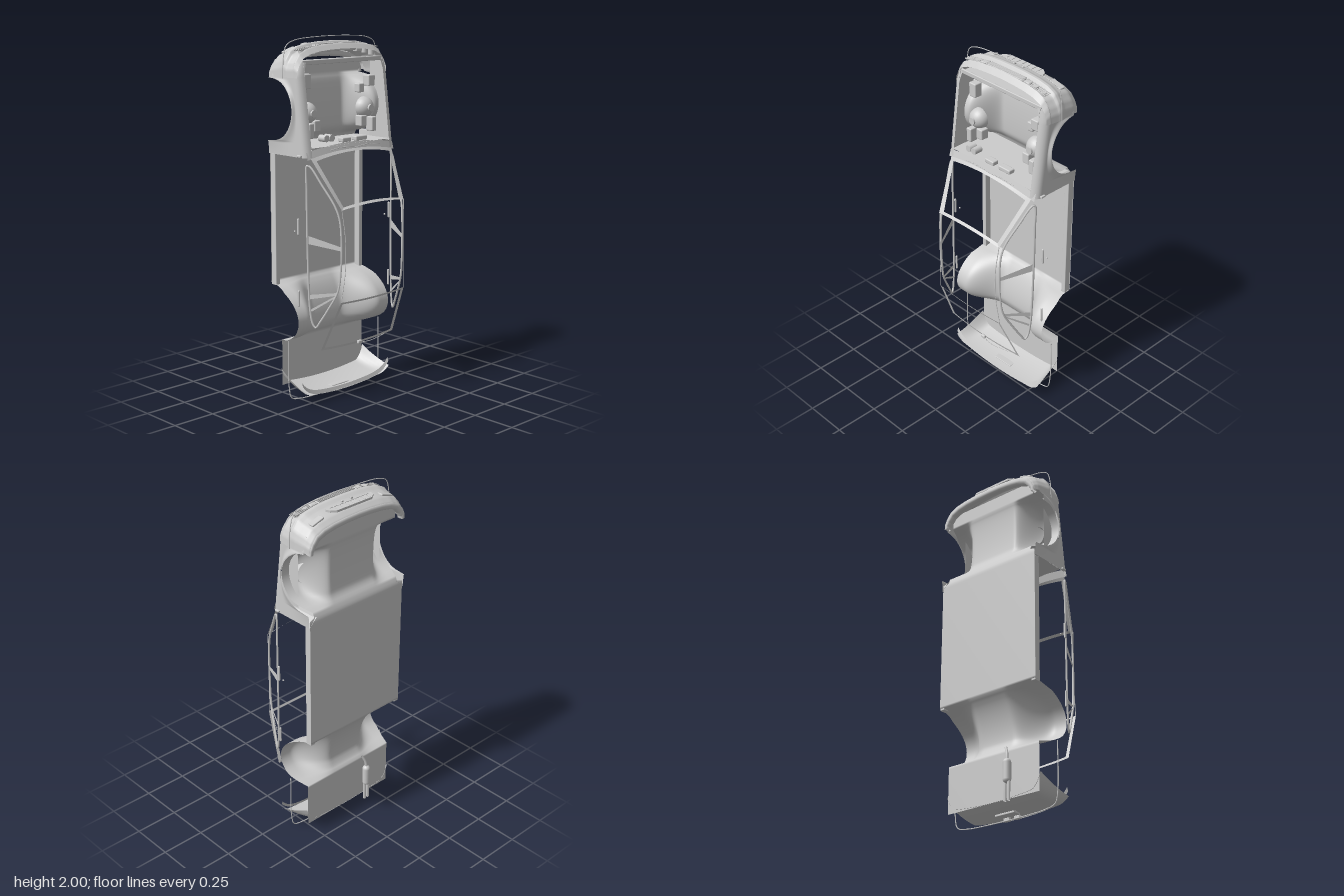
import * as THREE from 'three';
import { ParametricGeometry } from 'three/addons/geometries/ParametricGeometry.js';
import { RoundedBoxGeometry } from 'three/addons/geometries/RoundedBoxGeometry.js';

// Open car body shell standing on its tail: nose at +y, roof side at +z.
export function createModel() {
  const model = new THREE.Group();
  const mat = new THREE.MeshStandardMaterial({ color: 0xcccccc, side: THREE.DoubleSide });
  const { lerp, smoothstep, clamp } = THREE.MathUtils;

  function add(name, geo, x = 0, y = 0, z = 0) {
    const mesh = new THREE.Mesh(geo, mat);
    mesh.name = name;
    mesh.position.set(x, y, z);
    model.add(mesh);
    return mesh;
  }
  function surface(name, nu, nv, fn) {
    const geo = new ParametricGeometry((u, v, p) => p.set(...fn(u, v)), nu, nv);
    geo.computeVertexNormals();
    return add(name, geo);
  }
  // Piecewise linear lookup along a list of points
  function along(pts, t) {
    const f = clamp(t, 0, 1) * (pts.length - 1);
    const i = Math.min(Math.floor(f), pts.length - 2);
    return pts[i].map((a, k) => lerp(a, pts[i + 1][k], f - i));
  }
  const quad = (name, a, b, c, d) => surface(name, 4, 4, (u, v) => along([along([a, b], u), along([d, c], u)], v));
  function rod(name, pts, r, closed = false, n = 64) {
    const curve = new THREE.CatmullRomCurve3(pts.map(p => new THREE.Vector3(...p)), closed, 'centripetal');
    return add(name, new THREE.TubeGeometry(curve, n, r, 6, closed));
  }
  const box = (name, w, h, d, x, y, z, r = 0.006) =>
    add(name, new RoundedBoxGeometry(w, h, d, 2, r), x, y, z);
  const mirrorPts = pts => [...pts.map(([x, y, z]) => [-x, y, z]).reverse(), ...pts];

  // Underbody: flat cabin floor with domed wheel housings front and rear
  const FRONT = 1.62, REAR = 0.5;
  const bell = (y, c, r) => Math.pow(Math.max(0, 1 - ((y - c) / r) ** 2), 0.6);
  surface('underbody', 70, 150, (u, v) => {
    const y = lerp(0.075, 1.87, v);
    const f = bell(y, FRONT, 0.165), r = bell(y, REAR, 0.16);
    const cabin = y > 0.64 && y < 1.42;
    const half = cabin ? 0.334 : y > 1.42 ? 0.3 + 0.042 * Math.min(1, f * 1.7) : 0.31 + 0.038 * Math.min(1, r * 1.7);
    const x = (u * 2 - 1) * half, ax = Math.abs(x);
    const base = y < 0.4 ? -0.178 : y < 0.64 ? lerp(-0.178, -0.234, (y - 0.4) / 0.24)
      : y < 1.4 ? -0.234 : lerp(-0.234, -0.2, smoothstep(y, 1.4, 1.5));
    return [x, y, base + f * (0.015 + 0.155 * smoothstep(ax, 0.15, 0.27)) + r * (0.05 + 0.15 * smoothstep(ax, 0.1, 0.28))];
  });

  // Front bumper and headlight panel: profile swept round the nose
  const plan = [[0, 0], [0.09, -0.002], [0.18, -0.009], [0.25, -0.022], [0.3, -0.045], [0.33, -0.085], [0.345, -0.125], [0.348, -0.17]];
  const nose = x => {
    const i = Math.max(1, plan.findIndex(p => p[0] >= x));
    const [a, b] = [plan[i - 1], plan[i]];
    return lerp(a[1], b[1], (x - a[0]) / (b[0] - a[0]));
  };
  const profile = [[1.935, -0.012, 0.96], [1.965, -0.035, 0.98], [1.955, -0.04, 0.98], [1.955, -0.085, 1], [1.975, -0.098, 1.01],
    [1.975, -0.115, 1.01], [1.962, -0.14, 1], [1.945, -0.2, 0.985], [1.92, -0.232, 0.96], [1.895, -0.235, 0.93]];
  surface('frontBumper', 56, 36, (u, v) => {
    const s = u * 2 - 1, p = along(plan, Math.abs(s)), q = along(profile, v);
    return [Math.sign(s) * p[0] * q[2], lerp(q[0], 1.965, Math.abs(s) ** 4) + p[1], q[1]];
  });
  // Chin lip: closed band following the nose
  const lip = [[1.915, -0.205, 0.95], [1.922, -0.237, 0.96], [1.89, -0.237, 0.9], [1.885, -0.205, 0.9], [1.915, -0.205, 0.95]];
  surface('chinLip', 56, 8, (u, v) => {
    const s = u * 2 - 1, p = along(plan, Math.abs(s)), q = along(lip, v);
    return [Math.sign(s) * p[0] * q[2], lerp(q[0], 1.955, Math.abs(s) ** 4) + p[1], q[1]];
  });

  // Grille, lower intake and their bars
  box('grillePanel', 0.26, 0.04, 0.036, 0, 1.941, -0.062, 0.004);
  for (let i = 0; i < 5; i++) box('grilleSlat', 0.25, 0.008, 0.003, 0, 1.962, -0.076 + i * 0.007, 0.001);
  const intake = new THREE.Shape([[-0.16, -0.16], [-0.15, -0.185], [-0.12, -0.207], [0.12, -0.207], [0.15, -0.185], [0.16, -0.16], [0.14, -0.155], [-0.14, -0.155]]
    .map(p => new THREE.Vector2(p[0], -p[1])));
  const intakeMesh = add('lowerIntake', new THREE.ExtrudeGeometry(intake, { depth: 0.012, bevelEnabled: false }), 0, 1.948, 0);
  intakeMesh.rotation.x = -Math.PI / 2;
  for (let i = -3; i <= 3; i++) box('intakeBar', 0.003, 0.01, 0.046, i * 0.037, 1.958, -0.18, 0.001);
  box('intakeCrossbar', 0.27, 0.01, 0.003, 0, 1.958, -0.165, 0.001);

  // Engine bay: firewall, radiator panel, cowl
  quad('firewall', [-0.3, 1.43, -0.22], [0.3, 1.43, -0.22], [0.3, 1.43, 0.06], [-0.3, 1.43, 0.06]);
  quad('radiatorPanel', [-0.29, 1.87, -0.2], [0.29, 1.87, -0.2], [0.29, 1.872, -0.015], [-0.29, 1.872, -0.015]);
  box('slamPanel', 0.59, 0.025, 0.012, 0, 1.872, -0.018, 0.004);
  surface('cowl', 24, 8, (u, v) => {
    const x = (u * 2 - 1) * 0.325;
    return [x, lerp(1.4, 1.44, v) - 0.3 * x * x, 0.068 - 0.012 * v - 0.1 * x * x];
  });
  box('batteryBox', 0.05, 0.08, 0.05, -0.235, 1.77, -0.06);
  box('fluidTank', 0.05, 0.06, 0.05, 0.235, 1.75, -0.05);
  box('fluidTankCap', 0.04, 0.05, 0.04, 0.18, 1.71, -0.07);
  for (const x of [-0.18, -0.14]) {
    add('brakeReservoir', new THREE.CylinderGeometry(0.019, 0.019, 0.05, 16), x, 1.47, 0.025).rotation.x = Math.PI / 2;
  }
  box('firewallUnit', 0.065, 0.025, 0.04, -0.025, 1.45, 0.025);
  box('firewallUnitWide', 0.085, 0.025, 0.04, 0.087, 1.45, 0.025);

  // Bumper trim strips hanging round the nose and tail
  rod('frontTrimStrip', mirrorPts([[0.12, 1.998, -0.105], [0.27, 1.985, -0.105], [0.325, 1.96, -0.105], [0.345, 1.9, -0.105], [0.352, 1.79, -0.105]]), 0.0025, false, 80);
  rod('rearTrimStrip', mirrorPts([[0.12, 0.004, -0.08], [0.27, 0.012, -0.08], [0.33, 0.03, -0.08], [0.348, 0.1, -0.08], [0.35, 0.36, -0.08]]), 0.003, false, 80);

  for (const s of [-1, 1]) {
    // Fender with wheel arch cut-out and flared lip
    surface('frontFender', 90, 20, (u, v) => {
      const y = lerp(1.38, 1.875, u), top = 0.058 - (y - 1.38) * 0.13;
      const d = Math.abs(y - FRONT), arch = d < 0.165 ? -0.2 + Math.sqrt(0.165 ** 2 - d * d) : -0.235;
      const low = y > 1.785 ? -0.2 : arch;
      const out = 0.338 - 0.9 * Math.max(0, y - 1.8) ** 1.5;
      const flare = 0.016 * Math.exp(-((d / 0.18) ** 4)) * smoothstep(v, 0.5, 1);
      if (v < 0.3) { // rounded shoulder
        const a = v / 0.3 * Math.PI / 2;
        return [s * (out - 0.045 + 0.045 * Math.sin(a)), y, top - 0.04 * (1 - Math.cos(a))];
      }
      return [s * (out + flare), y, lerp(top - 0.04, low, (v - 0.3) / 0.7)];
    });
    quad('bayApron', [s * 0.293, 1.43, 0.05], [s * 0.293, 1.875, -0.006], [s * 0.293, 1.875, -0.1], [s * 0.293, 1.43, -0.1]);
    quad('hingePanel', [s * 0.338, 1.385, -0.235], [s * 0.325, 1.385, 0.045], [s * 0.29, 1.42, 0.055], [s * 0.29, 1.43, -0.235]);
    box('fenderTip', 0.02, 0.012, 0.03, s * 0.338, 1.388, 0.01, 0.004);
    const tower = add('strutTower', new THREE.SphereGeometry(0.06, 24, 8, 0, Math.PI * 2, 0, Math.PI / 2), s * 0.215, 1.6, -0.075);
    tower.rotation.x = Math.PI / 2;
    add('strutCap', new THREE.CylinderGeometry(0.02, 0.02, 0.012, 16), s * 0.215, 1.6, -0.015).rotation.x = Math.PI / 2;
    box('bayBox', 0.045, 0.06, 0.05, s * 0.175, 1.53, -0.05);
    box('baySideBox', 0.035, 0.08, 0.05, s * 0.235, 1.51, -0.03);

    // Headlights
    for (const x of [0.262, 0.209, 0.155]) {
      const y = 1.942 + nose(x);
      if (x > 0.2) add('headlight', new THREE.CylinderGeometry(0.016, 0.016, 0.05, 24), s * x, y, -0.06);
      else box('innerLamp', 0.044, 0.05, 0.032, s * x, y, -0.06);
    }
    for (let i = 0; i < 4; i++) {
      const slat = box('headlightSlat', 0.16, 0.006, 0.003, s * 0.215, 1.947, -0.078 + i * 0.012, 0.001);
      slat.rotation.z = -s * 0.16;
    }
    const fog = box('fogLight', 0.08, 0.012, 0.036, s * 0.24, 1.929, -0.18, 0.004);
    fog.rotation.z = -s * 0.3;
    box('towHook', 0.014, 0.01, 0.011, s * 0.032, 1.962, -0.146, 0.002);

    // Sill
    box('sill', 0.028, 0.73, 0.038, s * 0.319, 1.015, -0.214, 0.003);

    // Side window frame leaning inward toward the roof
    const at = (y, z) => [s * (0.342 - 0.5 * z), y, z];
    const outline = [[1.34, 0.045], [1.335, 0.06], [1.24, 0.12], [1.13, 0.185], [1.06, 0.208], [0.93, 0.217], [0.78, 0.213], [0.67, 0.198],
      [0.57, 0.15], [0.49, 0.105], [0.46, 0.085], [0.48, 0.07], [0.57, 0.056], [0.7, 0.05], [0.95, 0.045], [1.2, 0.043]];
    rod('sideWindowFrame', outline.map(p => at(...p)), 0.006, true, 120);
    quad('centrePillar', at(0.893, 0.215), at(0.915, 0.215), at(0.965, 0.045), at(0.92, 0.045));
    quad('rearDoorPillar', at(0.65, 0.195), at(0.665, 0.195), at(0.64, 0.05), at(0.615, 0.05));
    quad('rearQuarterBar', at(0.64, 0.19), at(0.65, 0.19), at(0.56, 0.06), at(0.545, 0.06));
    rod('roofDripRail', [[s * 0.235, 1.115, 0.222], [s * 0.222, 0.97, 0.234], [s * 0.222, 0.8, 0.236], [s * 0.24, 0.615, 0.222]], 0.002, false, 32);

    // Door handles and lock
    for (const y of [1.01, 0.615]) {
      add('doorHandle', new THREE.CapsuleGeometry(0.006, 0.08, 4, 10), s * 0.346, y, 0.003);
    }
    add('doorLock', new THREE.SphereGeometry(0.005, 10, 8), s * 0.344, 0.98, -0.028);
  }

  // Windscreen and rear window frames
  function frame(name, [bx, by, bz], [tx, ty, tz], [ibx, iby, ibz], [itx, ity, itz], bow) {
    for (const s of [-1, 1]) {
      quad(name + 'Pillar', [s * bx, by, bz], [s * tx, ty, tz], [s * itx, ity, itz], [s * ibx, iby, ibz]);
    }
    const bar = (part, o, i, b) => surface(name + part, 20, 2, (u, v) => {
      const t = u * 2 - 1, p = along([o, i], v);
      return [t * p[0], p[1] + b * (1 - t * t), p[2] + 0.006 * (1 - t * t)];
    });
    bar('LowerBar', [bx, by, bz], [ibx, iby, ibz], bow);
    bar('UpperBar', [tx, ty, tz], [itx, ity, itz], bow * 0.5);
  }
  frame('windscreen', [0.305, 1.375, 0.06], [0.235, 1.113, 0.222], [0.275, 1.362, 0.072], [0.21, 1.125, 0.209], 0.03);
  frame('rearWindow', [0.278, 0.332, 0.103], [0.242, 0.615, 0.222], [0.255, 0.345, 0.108], [0.225, 0.603, 0.216], -0.012);
  rod('rearWiper', [[-0.01, 0.325, 0.115], [0.05, 0.322, 0.13], [0.13, 0.325, 0.126], [0.2, 0.33, 0.114]], 0.002, false, 24);
  box('rearWiperMotor', 0.03, 0.02, 0.018, 0, 0.326, 0.118);
  for (const x of [-0.1, 0.09]) {
    rod('frontWiper', [[x - 0.08, 1.408, 0.071], [x, 1.418, 0.072], [x + 0.11, 1.412, 0.071]], 0.002, false, 24);
  }

  // Tail panel wrapping round the boot, with plate holder and lamps
  surface('tailPanel', 48, 8, (u, v) => {
    const s = u * 2 - 1, t = Math.abs(s);
    const wrap = Math.max(0, (t - 0.78) / 0.22);
    return [s * (0.345 - 0.02 * (1 - v)) * (1 - 0.02 * wrap * wrap),
      0.04 + 0.025 * t * t + (0.075 - 0.05 * v) * wrap * wrap + 0.036 * (1 - v) ** 2, lerp(-0.18, 0.02, v)];
  });
  surface('tailLip', 40, 2, (u, v) => {
    const x = (u * 2 - 1) * 0.335, t = Math.abs(x) / 0.335;
    return [x, 0.036 + 0.03 * t * t + 0.05 * t ** 8 + 0.022 * v, 0.02 - 0.008 * v];
  });
  box('plateHolder', 0.13, 0.012, 0.05, 0, 0.042, -0.06, 0.003);
  for (const x of [-0.035, 0.035]) box('plateLamp', 0.04, 0.02, 0.02, x, 0.03, -0.02, 0.004);

  // Exhaust
  add('muffler', new THREE.CapsuleGeometry(0.022, 0.09, 6, 18), -0.12, 0.215, -0.205);
  for (const x of [-0.132, -0.108]) {
    rod('tailpipe', [[x, 0.17, -0.205], [x, 0.12, -0.206], [x, 0.055, -0.206]], 0.009, false, 16);
  }
  rod('exhaustPipe', [[-0.12, 0.27, -0.205], [-0.115, 0.31, -0.2], [-0.1, 0.35, -0.19]], 0.008, false, 16);
  return model;
}
